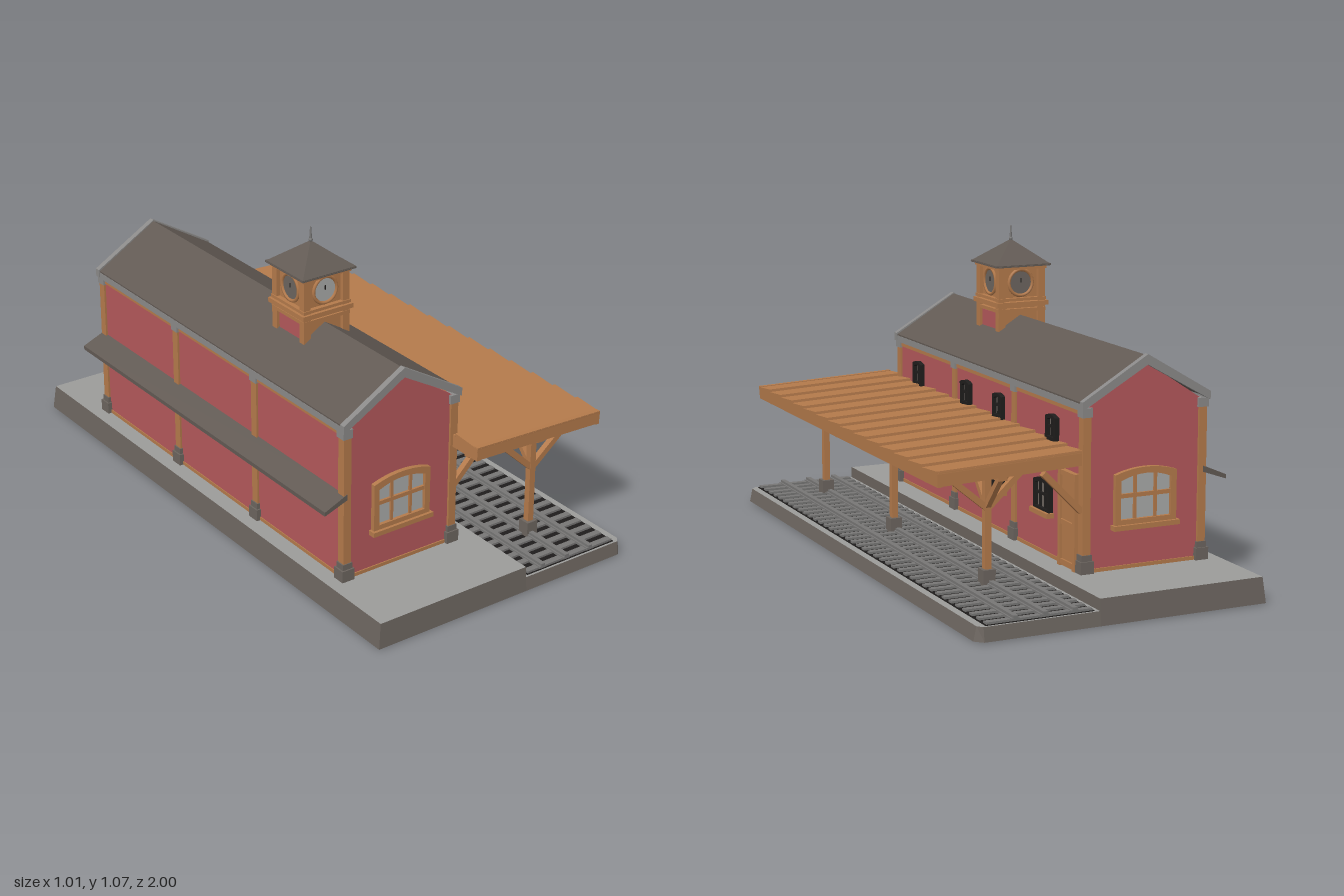
import * as THREE from 'three';

const mat = (name, color) => Object.assign(new THREE.MeshStandardMaterial({ color }), { name });
const M = {
  wall: mat('red wall', 0xb4585b),
  wood: mat('timber', 0xb47a4b),
  roof: mat('slate roof', 0x625a54),
  stone: mat('pale stone', 0x9b9b99),
  side: mat('weathered stone', 0x6c655f),
  trim: mat('grey trim', 0x8b8a89),
  pane: mat('window pane', 0xa9aaa8),
  dark: mat('dark', 0x1f1d1c),
  steel: mat('rail steel', 0x777675),
};

const CX = -0.215; // ridge and tower centre line

function add(parent, name, geo, material, x = 0, y = 0, z = 0) {
  const m = new THREE.Mesh(geo, material);
  m.name = name;
  m.position.set(x, y, z);
  parent.add(m);
  return m;
}

// Box given by its lower and upper bounds
function box(parent, name, material, x0, x1, y0, y1, z0, z1) {
  return add(parent, name, new THREE.BoxGeometry(x1 - x0, y1 - y0, z1 - z0), material,
    (x0 + x1) / 2, (y0 + y1) / 2, (z0 + z1) / 2);
}

// Square timber between two points
function beam(parent, name, material, a, b, t) {
  const A = new THREE.Vector3(...a), B = new THREE.Vector3(...b);
  const m = add(parent, name, new THREE.BoxGeometry(t, t, A.distanceTo(B)), material);
  m.position.copy(A).add(B).multiplyScalar(0.5);
  m.lookAt(B);
  return m;
}

const polygon = (pts) => new THREE.Shape(pts.map((p) => new THREE.Vector2(...p)));
const rect = (x0, x1, y0, y1) => polygon([[x0, y0], [x1, y0], [x1, y1], [x0, y1]]);
const extrude = (shape, depth) => new THREE.ExtrudeGeometry(shape, { depth, bevelEnabled: false });

// Slab lying on the ground whose outer edges lean inward towards the top
function slab(parent, name, shape, height) {
  const geo = extrude(shape, height).rotateX(-Math.PI / 2);
  const p = geo.attributes.position;
  for (let i = 0; i < p.count; i++) {
    if (p.getY(i) < height / 2) continue;
    if (Math.abs(p.getX(i)) > 0.48) p.setX(i, p.getX(i) * 0.98);
    if (Math.abs(p.getZ(i)) > 0.98) p.setZ(i, p.getZ(i) * 0.993);
  }
  geo.computeVertexNormals();
  return add(parent, name, geo, [M.stone, M.side]);
}

function archShape(w, h, rise) {
  const s = new THREE.Shape();
  s.moveTo(-w / 2, 0);
  s.lineTo(w / 2, 0);
  s.lineTo(w / 2, h - rise);
  s.quadraticCurveTo(0, h + rise, -w / 2, h - rise);
  s.closePath();
  return s;
}

// Arched window facing +z with its base at the origin
function archWindow(parent, name, w, h, o) {
  const g = new THREE.Group();
  g.name = name;
  const t = o.border, rise = h * 0.1;
  const frame = archShape(w, h, rise);
  const opening = archShape(w - 2 * t, h - 2 * t, rise).getPoints(8).map((p) => p.add(new THREE.Vector2(0, t)));
  frame.holes.push(new THREE.Path(opening));
  add(g, 'windowFrame', extrude(frame, 0.016), o.frame);
  add(g, 'windowPane', new THREE.ShapeGeometry(new THREE.Shape(opening)), o.pane, 0, 0, 0.004);
  for (let i = 1; i < o.cols; i++) {
    const x = -w / 2 + (w * i) / o.cols;
    box(g, 'glazingBar', o.frame, x - t / 4, x + t / 4, t, h - t, 0.003, 0.011);
  }
  box(g, 'crossBar', o.frame, -w / 2 + t, w / 2 - t, h * 0.52 - t / 3, h * 0.52 + t / 3, 0.003, 0.012);
  if (o.sill) box(g, 'windowSill', M.wood, -w / 2 - 0.008, w / 2 + 0.008, -0.012, 0.004, 0, 0.026);
  parent.add(g);
  return g;
}

function buildBase(root) {
  const g = new THREE.Group();
  g.name = 'base';
  const platform = rect(-0.5, 0.085, -1, 1);
  platform.holes.push(rect(-0.42, -0.01, -0.72, 0.72));
  slab(g, 'platform', platform, 0.085);
  const c = 0.025;
  slab(g, 'trackBed', polygon([[0.085, -1], [0.5 - c, -1], [0.5, -1 + c], [0.5, 1 - c], [0.5 - c, 1], [0.085, 1]]), 0.046);
  box(g, 'bedUnderside', M.dark, 0.06, 0.46, -0.0, 0.004, -0.97, 0.97).position.y = -0.001;
  box(g, 'ballast', M.dark, 0.1, 0.465, 0.042, 0.048, -0.985, 0.985);
  for (let i = 0; i < 40; i++) {
    const z = -0.97 + (i * 1.94) / 39;
    box(g, 'sleeper', M.steel, 0.105, 0.46, 0.044, 0.055, z - 0.011, z + 0.011);
  }
  for (const x of [0.165, 0.265, 0.365]) {
    box(g, 'railFoot', M.steel, x - 0.014, x + 0.014, 0.05, 0.058, -0.985, 0.985);
    box(g, 'railHead', M.steel, x - 0.008, x + 0.008, 0.056, 0.066, -0.985, 0.985);
  }
  root.add(g);
}

function buildHouse(root) {
  const g = new THREE.Group();
  g.name = 'house';
  // Walls stand through the platform and are open beneath
  const gable = polygon([[-0.43, 0.005], [0, 0.005], [0, 0.605], [CX, 0.745], [-0.43, 0.605]]);
  add(g, 'gableWall', extrude(gable, 0.02), M.wall, 0, 0, 0.7);
  add(g, 'gableWall', extrude(gable, 0.02), M.wall, 0, 0, -0.72);
  for (const s of [-1, 1]) {
    const x = CX + s * 0.205;
    box(g, 'sideWall', M.wall, x - 0.01, x + 0.01, 0.005, 0.605, -0.705, 0.705);
    box(g, 'wallPlate', M.wood, x - 0.014, x + 0.014, 0.59, 0.608, -0.71, 0.71);
    box(g, 'wallSkirting', M.wood, x - 0.013, x + 0.013, 0.085, 0.097, -0.71, 0.71);
    box(g, 'gableSkirting', M.wood, -0.43, 0, 0.085, 0.097, s > 0 ? 0.71 : -0.724, s > 0 ? 0.724 : -0.71);
    // Pilasters with stone feet
    for (const z of [-0.713, -0.235, 0.235, 0.713]) {
      const px = CX + s * 0.208;
      box(g, 'pilaster', M.wood, px - 0.014, px + 0.014, 0.085, 0.6, z - 0.015, z + 0.015);
      box(g, 'pilasterFoot', M.side, px - 0.023, px + 0.023, 0.085, 0.125, z - 0.023, z + 0.023);
      box(g, 'pilasterFootCap', M.side, px - 0.018, px + 0.018, 0.125, 0.145, z - 0.018, z + 0.018);
      box(g, 'eaveCorbel', M.trim, px - 0.018, px + 0.018, 0.585, 0.615, z - 0.018, z + 0.018);
    }
    box(g, 'gutter', M.trim, CX + s * 0.218 - 0.008, CX + s * 0.218 + 0.008, 0.605, 0.627, -0.725, 0.725);
  }
  // Roof and verge boards share one chevron section
  const chevron = (d) => polygon([[CX - 0.225 - d, 0.612 - d], [CX, 0.742 - d], [CX + 0.225 + d, 0.612 - d],
    [CX + 0.225 + d, 0.632 + d], [CX, 0.767 + d], [CX - 0.225 - d, 0.632 + d]]);
  add(g, 'roof', extrude(chevron(0), 1.45), M.roof, 0, 0, -0.725);
  for (const z of [-0.737, 0.717]) add(g, 'vergeBoard', extrude(chevron(0.004), 0.02), M.trim, 0, 0, z);
  // Lean-to awning along the back
  const awning = polygon([[-0.51, 0.343], [-0.425, 0.373], [-0.425, 0.393], [-0.51, 0.357]]);
  add(g, 'awning', extrude(awning, 1.46), M.roof, 0, 0, -0.73);

  // Windows
  const big = { border: 0.02, cols: 3, frame: M.wood, pane: M.pane, sill: true };
  archWindow(g, 'gableWindow', 0.22, 0.185, big).position.set(CX, 0.227, 0.72);
  const rear = archWindow(g, 'gableWindow', 0.22, 0.185, big);
  rear.position.set(CX, 0.227, -0.72);
  rear.rotation.y = Math.PI;
  const rows = [[0.525, 0.16, 0.225, 0.115], [0.115, 0.08, 0.23, 0.11], [-0.127, 0.08, 0.23, 0.11], [-0.455, 0.11, 0.23, 0.11],
    [0.535, 0.07, 0.475, 0.085], [0.13, 0.07, 0.475, 0.085], [-0.125, 0.07, 0.475, 0.085], [-0.517, 0.07, 0.475, 0.085]];
  for (const [z, w, y, h] of rows) {
    const win = archWindow(g, 'sideWindow', w, h,
      { border: 0.012, cols: w > 0.1 ? 3 : 2, frame: M.dark, pane: M.side, sill: y < 0.4 });
    win.position.set(0, y, z);
    win.rotation.y = Math.PI / 2;
  }
  // Door
  box(g, 'door', M.wood, -0.01, 0.012, 0.085, 0.39, -0.69, -0.59);
  for (const z of [-0.69, -0.59]) box(g, 'doorPost', M.wood, 0, 0.02, 0.085, 0.4, z - 0.008, z + 0.008);
  for (const y of [0.1, 0.23, 0.31, 0.39]) box(g, 'doorRail', M.wood, 0, 0.018, y - 0.008, y + 0.008, -0.69, -0.59);
  root.add(g);
}

function buildTower(root) {
  const g = new THREE.Group();
  g.name = 'clockTower';
  g.position.set(CX, 0, 0.24);
  box(g, 'towerCore', M.wood, -0.076, 0.076, 0.66, 0.94, -0.076, 0.076);
  for (const x of [-0.076, 0.076]) for (const z of [-0.076, 0.076])
    box(g, 'towerPost', M.wood, x - 0.013, x + 0.013, 0.67, 0.94, z - 0.013, z + 0.013);
  for (const [y, w, h] of [[0.785, 0.09, 0.012], [0.807, 0.098, 0.016], [0.823, 0.092, 0.01], [0.934, 0.093, 0.014]])
    box(g, 'towerMoulding', M.wood, -w, w, y - h / 2, y + h / 2, -w, w);
  for (const s of [-1, 1]) box(g, 'lowerPanel', M.wall, s * 0.076 - 0.004, s * 0.076 + 0.004, 0.68, 0.775, -0.06, 0.06);
  // One clock on each side
  for (let i = 0; i < 4; i++) {
    const c = new THREE.Group();
    c.name = 'clock';
    c.rotation.y = (i * Math.PI) / 2;
    add(c, 'clockRim', new THREE.TorusGeometry(0.045, 0.006, 6, 24), M.wood, 0, 0.88, 0.079);
    add(c, 'clockFace', new THREE.CircleGeometry(0.045, 24), i === 0 ? M.pane : M.side, 0, 0.88, 0.0785);
    box(c, 'clockHand', M.dark, -0.0015, 0.0015, 0.88, 0.895, 0.079, 0.081);
    g.add(c);
  }
  const cap = new THREE.ConeGeometry(0.148, 0.082, 4).rotateY(Math.PI / 4).toNonIndexed();
  cap.computeVertexNormals();
  add(g, 'towerRoof', cap, M.roof, 0, 0.982, 0);
  box(g, 'towerEaves', M.roof, -0.104, 0.104, 0.937, 0.944, -0.104, 0.104);
  add(g, 'finial', new THREE.CylinderGeometry(0.002, 0.006, 0.06, 8), M.steel, 0, 1.04, 0);
  add(g, 'finialBall', new THREE.SphereGeometry(0.007, 10, 8), M.steel, 0, 1.025, 0);
  root.add(g);
}

function buildCanopy(root) {
  const g = new THREE.Group();
  g.name = 'canopy';
  // Sloping deck of overlapping boards
  const deck = new THREE.Group();
  deck.name = 'canopyDeck';
  deck.position.set(0.245, 0.455, 0.065);
  deck.rotation.z = -0.04;
  const n = 14, pitch = 1.57 / n;
  for (let i = 0; i < n; i++) {
    const z = -0.785 + pitch * (i + 0.5);
    add(deck, 'deckBoard', new THREE.BoxGeometry(0.512, 0.01, pitch), M.wood, 0, 0.008, z).rotation.x = 0.08;
    box(deck, 'joist', M.wood, -0.25, 0.25, -0.028, 0, z - 0.014, z + 0.014);
  }
  box(deck, 'deckLining', M.dark, -0.25, 0.25, -0.006, 0, -0.78, 0.78);
  for (const s of [-1, 1]) {
    box(deck, 'endFascia', M.wood, -0.255, 0.255, -0.032, 0.012, s * 0.777 - 0.008, s * 0.777 + 0.008);
    box(deck, 'longFascia', M.wood, s * 0.247 - 0.008, s * 0.247 + 0.008, -0.034, 0.008, -0.785, 0.785);
  }
  g.add(deck);
  box(g, 'purlin', M.wood, 0.255, 0.285, 0.405, 0.43, -0.7, 0.83);

  // Posts with branching braces and matching wall brackets
  for (const z of [0.785, 0.155, -0.585]) {
    box(g, 'canopyPost', M.wood, 0.259, 0.281, 0.05, 0.42, z - 0.011, z + 0.011);
    box(g, 'postFoot', M.side, 0.249, 0.291, 0.04, 0.1, z - 0.021, z + 0.021);
    beam(g, 'tieBeam', M.wood, [0, 0.427, z], [0.48, 0.41, z], 0.022);
    beam(g, 'postBrace', M.wood, [0.27, 0.295, z], [0.135, 0.42, z], 0.02);
    beam(g, 'postBrace', M.wood, [0.27, 0.295, z], [0.415, 0.415, z], 0.02);
    if (z < 0.7) beam(g, 'longBrace', M.wood, [0.27, 0.3, z], [0.27, 0.415, z + 0.1], 0.018);
    beam(g, 'longBrace', M.wood, [0.27, 0.3, z], [0.27, 0.415, z - 0.1], 0.018);
  }
  for (const z of [0.713, 0.235, -0.235, -0.713])
    beam(g, 'wallBracket', M.wood, [0.005, 0.285, z], [0.14, 0.42, z], 0.02);
  root.add(g);
}

export function createModel() {
  const root = new THREE.Group();
  root.name = 'railwayStation';
  buildBase(root);
  buildHouse(root);
  buildTower(root);
  buildCanopy(root);
  return root;
}
